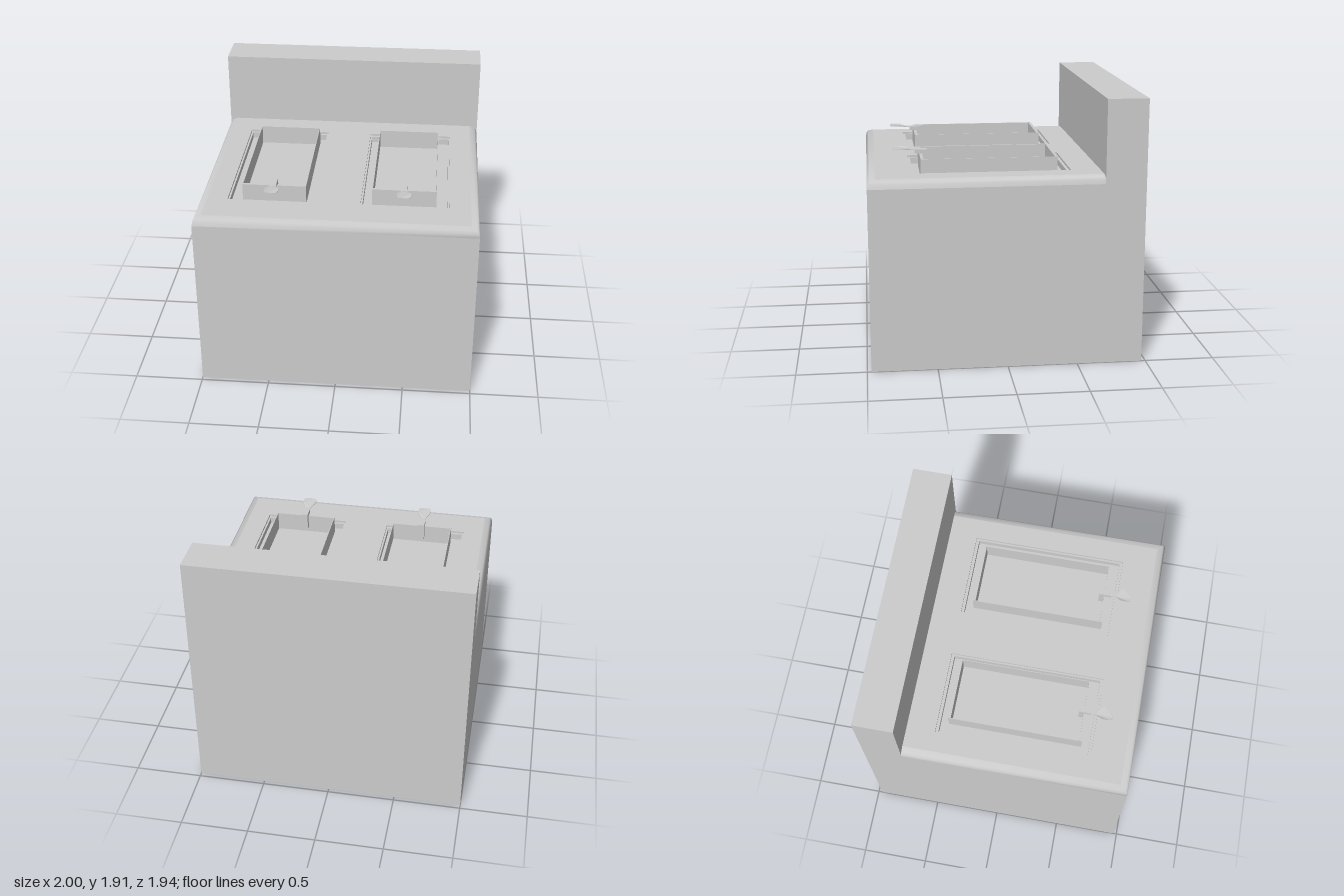
import * as THREE from 'three';

const grey = new THREE.MeshStandardMaterial({ color: 0xcccccc, side: THREE.DoubleSide });

function add(parent, name, geometry) {
  const mesh = new THREE.Mesh(geometry, grey);
  mesh.name = name;
  parent.add(mesh);
  return mesh;
}

// Rectangle on the ground plane; shape y is -z
function rect(x0, x1, z0, z1, Type = THREE.Shape) {
  return new Type([[x0, z0], [x1, z0], [x1, z1], [x0, z1]].map(([x, z]) => new THREE.Vector2(x, -z)));
}

// Upright slab of a ground-plane shape between two heights
function slab(shape, y0, y1) {
  return new THREE.ExtrudeGeometry(shape, { depth: y1 - y0, bevelEnabled: false, curveSegments: 6 })
    .rotateX(-Math.PI / 2).translate(0, y0, 0);
}

function box(x0, x1, y0, y1, z0, z1) {
  return new THREE.BoxGeometry(x1 - x0, y1 - y0, z1 - z0)
    .translate((x0 + x1) / 2, (y0 + y1) / 2, (z0 + z1) / 2);
}

const FRONT = 0.97, BACK = -0.97, PANEL = -0.68;
const FLOOR = 1.32, LEDGE = 1.365, TOP = 1.38;

// Cabinet and upright back panel as one L-shaped profile
function cabinetGeometry() {
  const profile = new THREE.Shape([[BACK, 0], [FRONT, 0], [FRONT, FLOOR], [PANEL, FLOOR], [PANEL, 1.915], [BACK, 1.915]]
    .map(([z, y]) => new THREE.Vector2(-z, y)));
  return new THREE.ExtrudeGeometry(profile, { depth: 2, bevelEnabled: false })
    .rotateY(Math.PI / 2).translate(-1, 0, 0);
}

// Rounded worktop edge: inset rings round the left, front and right
function edgeGeometry() {
  const steps = [[0, FLOOR], [0.006, 1.35], [0.02, 1.368], [0.06, TOP]];
  const pos = [], index = [];
  for (const [d, y] of steps) {
    pos.push(-1 + d, y, PANEL, -1 + d, y, FRONT - d, 1 - d, y, FRONT - d, 1 - d, y, PANEL);
  }
  for (let k = 0; k < steps.length - 1; k++) {
    for (let i = 0; i < 3; i++) {
      const a = k * 4 + i, b = a + 1, c = a + 5, d = a + 4;
      index.push(a, b, c, a, c, d);
    }
  }
  const g = new THREE.BufferGeometry();
  g.setAttribute('position', new THREE.Float32BufferAttribute(pos, 3));
  g.setIndex(index);
  g.computeVertexNormals();
  return g;
}

// Flat paddle with rounded tip, bent upward past the stem
function paddleGeometry() {
  const s = new THREE.Shape();
  s.moveTo(-0.022, -0.53);
  s.lineTo(-0.022, -0.65);
  s.lineTo(-0.05, -0.70);
  s.lineTo(-0.05, -0.745);
  s.quadraticCurveTo(-0.05, -0.775, -0.025, -0.775);
  s.lineTo(0.025, -0.775);
  s.quadraticCurveTo(0.05, -0.775, 0.05, -0.745);
  s.lineTo(0.05, -0.70);
  s.lineTo(0.022, -0.65);
  s.lineTo(0.022, -0.53);
  const g = slab(s, 1.485, 1.49);
  const p = g.attributes.position;
  for (let i = 0; i < p.count; i++) {
    const t = THREE.MathUtils.clamp((p.getZ(i) - 0.65) / 0.05, 0, 1);
    p.setY(i, p.getY(i) + 0.013 * t);
  }
  g.computeVertexNormals();
  return g;
}

export function createModel() {
  const model = new THREE.Group();
  model.name = 'fryer';
  add(model, 'cabinet', cabinetGeometry());
  add(model, 'worktopEdge', edgeGeometry());

  // Worktop in two layers, so each well opening has a small ledge
  const wells = [[-0.795, -0.177], [0.157, 0.786]];
  const upper = rect(-0.94, 0.94, PANEL, 0.91);
  const lower = rect(-0.94, 0.94, PANEL, 0.91);
  for (const [x0, x1] of wells) {
    upper.holes.push(rect(x0, x1, -0.47, 0.667, THREE.Path));
    lower.holes.push(rect(x0 + 0.013, x1 - 0.013, -0.448, 0.645, THREE.Path));
  }
  add(model, 'worktop', slab(upper, LEDGE, TOP));
  add(model, 'wellLedges', slab(lower, FLOOR, LEDGE));

  // Baskets with hooked handles
  for (const [side, x] of [['right', -0.468], ['left', 0.465]]) {
    const basket = new THREE.Group();
    basket.name = side + 'Basket';
    basket.position.x = x;
    const walls = rect(-0.23, 0.23, -0.39, 0.588);
    walls.holes.push(rect(-0.225, 0.225, -0.37, 0.567, THREE.Path));
    add(basket, 'basketWalls', slab(walls, FLOOR, 1.46));
    add(basket, 'handleHook', box(-0.022, 0.022, 1.36, 1.485, 0.53, 0.567));
    add(basket, 'handleStem', box(-0.022, 0.022, 1.46, 1.485, 0.567, 0.62));
    add(basket, 'handlePaddle', paddleGeometry());
    model.add(basket);
  }
  return model;
}
